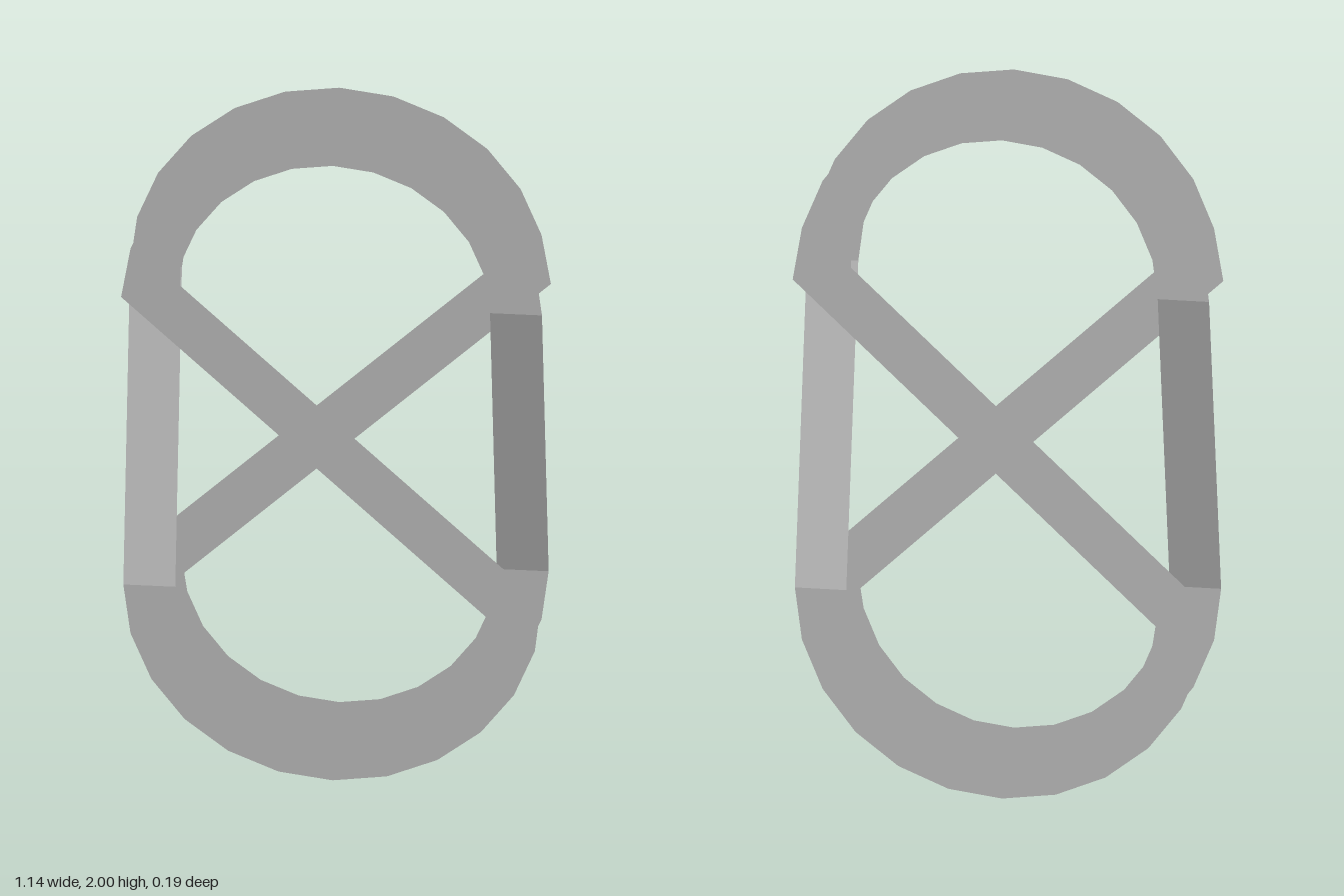
import * as THREE from 'three';

const HALF_DEPTH = 0.093;
const OUTER = 0.564, INNER = 0.424;
const TOP_Y = 1.436, BOTTOM_Y = 0.566;

const material = new THREE.MeshStandardMaterial({
  color: 0xcccccc, flatShading: true, side: THREE.DoubleSide,
});

// Flat strip through a list of [outer point, inner point] cross-sections
function ribbon(name, sections) {
  const index = [];
  for (let i = 0; i < sections.length - 1; i++) {
    const a = i * 2;
    index.push(a, a + 2, a + 1, a + 1, a + 2, a + 3);
  }
  const geometry = new THREE.BufferGeometry();
  geometry.setAttribute('position', new THREE.Float32BufferAttribute(sections.flat(2), 3));
  geometry.setIndex(index);
  geometry.computeVertexNormals();
  const mesh = new THREE.Mesh(geometry, material);
  mesh.name = name;
  return mesh;
}

// Radial cross-section of an arch in the front plane
function radial(degrees, centerY) {
  const t = THREE.MathUtils.degToRad(degrees);
  return [OUTER, INNER].map((r) => [r * Math.cos(t), centerY + r * Math.sin(t), HALF_DEPTH]);
}

// One half of the loop: arch, diagonal, arch and the strap crossing to the back
function createHalf(name) {
  const half = new THREE.Group();
  half.name = name;

  // Mitred joints where the arches fold into the diagonal
  const upperJoint = [[-0.57, 1.435, HALF_DEPTH], [-0.411, 1.477, HALF_DEPTH]];
  const lowerJoint = [[0.562, 0.568, HALF_DEPTH], [0.418, 0.512, HALF_DEPTH]];

  const upper = [], lower = [lowerJoint];
  for (let i = 0; i < 12; i++) {
    upper.push(radial(i * 15, TOP_Y));
    lower.push(radial(-15 * (i + 1), BOTTOM_Y));
  }
  upper.push(upperJoint);

  half.add(ribbon('upperArch', upper));
  // The diagonal swaps sides: the arch's inner edge continues as its upper edge
  half.add(ribbon('diagonalBar', [upperJoint, [lowerJoint[1], lowerJoint[0]]]));
  half.add(ribbon('lowerArch', lower));

  // Side strap from the front lower arch up to the back upper arch
  half.add(ribbon('sideStrap', [
    [[-OUTER, BOTTOM_Y, HALF_DEPTH], [-INNER, BOTTOM_Y, HALF_DEPTH]],
    [[-OUTER, TOP_Y, -HALF_DEPTH], [-INNER, TOP_Y, -HALF_DEPTH]],
  ]));
  return half;
}

export function createModel() {
  const model = new THREE.Group();
  model.name = 'foldedRibbonLoop';
  const back = createHalf('backHalf');
  back.rotation.y = Math.PI;
  model.add(createHalf('frontHalf'), back);
  return model;
}
